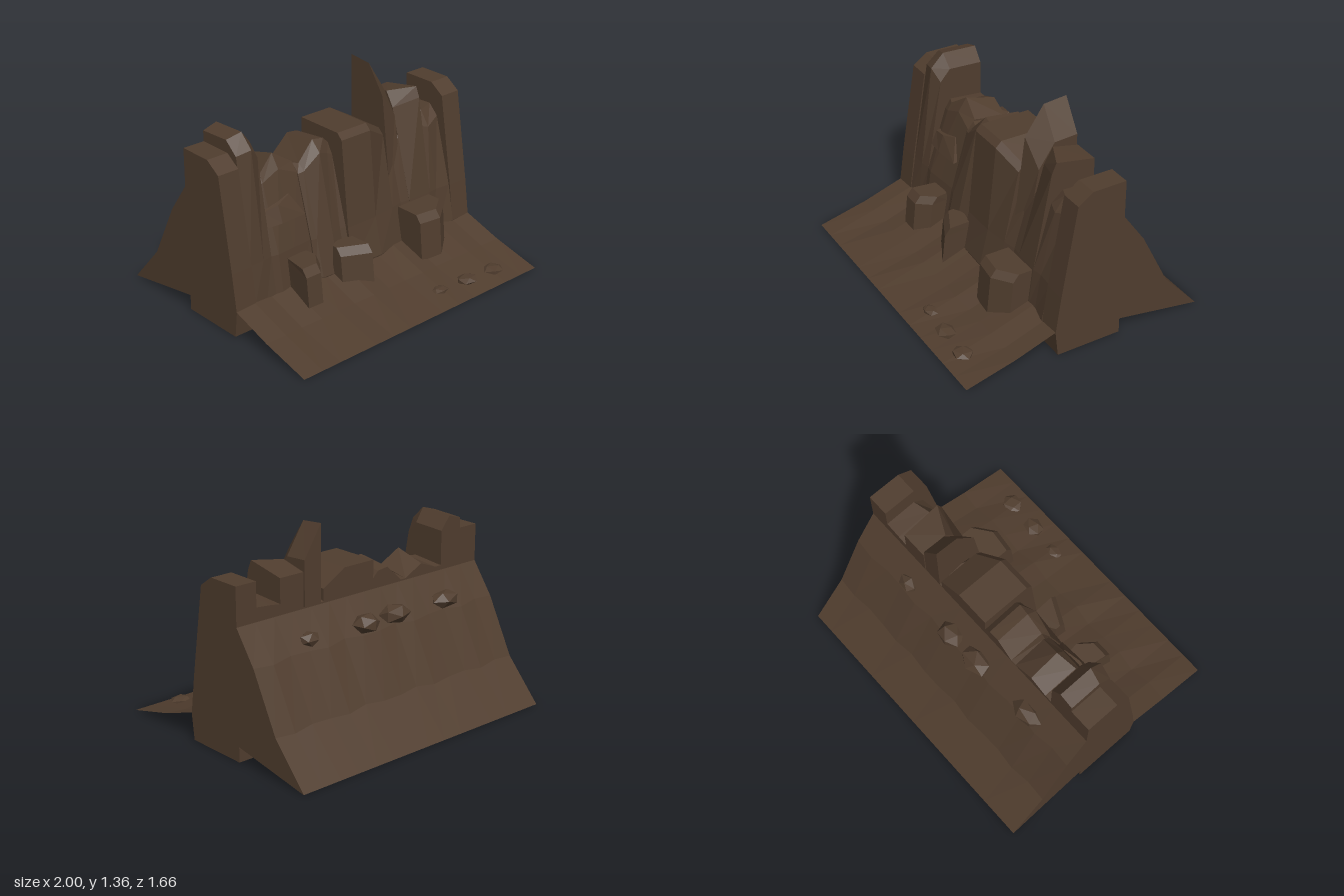
import * as THREE from 'three';

const rock = new THREE.MeshStandardMaterial({ color: 0x503d2e, flatShading: true, side: THREE.DoubleSide });
rock.name = 'brownRock';

// Skins a row of cross-sections; closed sections get end caps.
function loft(sections, closed) {
  const n = sections[0].length, pos = sections.flat(2), idx = [];
  for (let i = 0; i < sections.length - 1; i++) {
    for (let j = 0; j < (closed ? n : n - 1); j++) {
      const k = (j + 1) % n, a = i * n + j, b = i * n + k, c = a + n, d = b + n;
      idx.push(a, b, c, c, b, d);
    }
  }
  if (closed) {
    const last = (sections.length - 1) * n;
    for (let j = 1; j < n - 1; j++) {
      idx.push(0, j + 1, j, last, last + j, last + j + 1);
    }
  }
  const g = new THREE.BufferGeometry();
  g.setAttribute('position', new THREE.Float32BufferAttribute(pos, 3));
  g.setIndex(idx);
  const flat = g.toNonIndexed();
  flat.computeVertexNormals();
  return flat;
}

const BACK = -0.25;

// Column station: [x, back height, top edge z, y, shoulder z, y, middle z, foot z]
function columnGeometry(stations, bottom) {
  return loft(stations.map(([x, yb, zt, yt, zs, ys, zm, zf]) => [
    [x, bottom, BACK], [x, yb, BACK], [x, yt, zt], [x, ys, zs],
    [x, 0.42, zm], [x, 0.17, zf], [x, bottom, zf - 0.02],
  ]), true);
}

const columns = {
  leftOfCentreTower: [
    [-0.85, 1.17, -0.03, 1.18, 0.06, 1.1, 0.17, 0.21],
    [-0.75, 1.2, -0.01, 1.21, 0.08, 1.12, 0.17, 0.2],
    [-0.68, 1.11, -0.02, 1.12, 0.05, 1.04, 0.16, 0.2]],
  lowPeak: [
    [-0.68, 0.88, -0.02, 0.9, 0.02, 0.84, 0.16, 0.2],
    [-0.63, 0.88, 0.0, 0.9, 0.03, 0.85, 0.17, 0.21],
    [-0.5, 0.93, -0.04, 0.99, 0.02, 0.9, 0.16, 0.2],
    [-0.36, 0.86, -0.02, 0.9, 0.03, 0.84, 0.15, 0.2]],
  foldedPeak: [
    [-0.36, 0.86, -0.01, 0.89, 0.04, 0.83, 0.16, 0.21],
    [-0.32, 0.86, 0.0, 0.88, 0.05, 0.84, 0.17, 0.23],
    [-0.2, 0.97, -0.01, 1.0, 0.06, 0.93, 0.18, 0.24],
    [-0.12, 0.96, 0.0, 0.99, 0.04, 0.9, 0.16, 0.22],
    [-0.08, 0.92, 0.0, 0.95, 0.04, 0.88, 0.17, 0.23]],
  centreBlock: [
    [-0.08, 1.04, 0.09, 1.04, 0.13, 1.0, 0.19, 0.24],
    [0.16, 1.04, 0.09, 1.04, 0.13, 1.0, 0.19, 0.25],
    [0.33, 0.94, 0.03, 0.94, 0.07, 0.9, 0.17, 0.22]],
  wallFold: [
    [0.33, 0.86, -0.02, 0.92, 0.03, 0.85, 0.17, 0.22],
    [0.42, 0.86, 0.02, 0.8, 0.07, 0.7, 0.15, 0.2],
    [0.5, 0.86, -0.02, 0.94, 0.04, 0.85, 0.16, 0.2]],
  spire: [
    [0.35, 1.355, -0.09, 1.34, 0.04, 1.15, 0.13, 0.18],
    [0.48, 1.15, -0.09, 1.14, 0.02, 0.98, 0.12, 0.18]],
  slabTower: [
    [0.49, 1.08, -0.07, 1.12, -0.01, 1.02, 0.16, 0.2],
    [0.67, 1.08, 0.02, 1.13, 0.05, 1.06, 0.17, 0.2]],
  lowShoulder: [
    [0.67, 0.92, -0.03, 0.93, 0.05, 0.86, 0.17, 0.2],
    [0.74, 0.93, 0.0, 0.94, 0.07, 0.84, 0.16, 0.2],
    [0.85, 0.94, -0.03, 0.95, 0.04, 0.88, 0.17, 0.22]],
};

// Boulder outlines run front-left round to back-left as [x, z]; top pulls back at the front.
const boulders = [
  { top: 0.37, out: [[-0.585, 0.39], [-0.47, 0.39], [-0.4, 0.3], [-0.41, 0.17], [-0.56, 0.15]] },
  { top: 0.36, out: [[-0.235, 0.31], [-0.05, 0.4], [-0.055, 0.2], [-0.17, 0.18], [-0.235, 0.22]] },
  { top: 0.41, out: [[0.38, 0.39], [0.54, 0.41], [0.66, 0.32], [0.66, 0.17], [0.38, 0.17]] },
];

function boulderGeometry({ top, out }) {
  const ring = (y, pull) => out.map(([x, z]) => [x, y, z > 0.25 ? z - pull : z]);
  return loft([ring(0, -0.02), ring(top - 0.05, 0.015), ring(top, 0.055)], true);
}

export function createModel() {
  const group = new THREE.Group();
  const add = (name, geometry) => {
    const mesh = new THREE.Mesh(geometry, rock);
    mesh.name = name;
    group.add(mesh);
    return mesh;
  };

  // Wall of irregular rock columns
  for (const [name, stations] of Object.entries(columns)) add(name, columnGeometry(stations, 0.1));

  // Matching end columns reach the ground
  for (const side of [-1, 1]) {
    const xs = side < 0 ? [-1, -0.85] : [0.85, 1];
    add(side < 0 ? 'rightEndColumn' : 'leftEndColumn', columnGeometry(
      xs.map((x) => [x, 1.1, -0.02, 1.1, 0.08, 1.03, 0.18, 0.215]), 0));
  }

  // Jutting ledge on the low peak
  add('ledge', loft([
    [[-0.68, 0.6, 0.13], [-0.57, 0.6, 0.14], [-0.38, 0.6, 0.13], [-0.4, 0.6, 0], [-0.68, 0.6, 0]],
    [[-0.68, 0.69, 0.09], [-0.57, 0.71, 0.1], [-0.46, 0.74, 0.07], [-0.47, 0.76, 0], [-0.6, 0.77, 0]],
  ], true));

  // Gently rippled slopes in front of and behind the wall
  const skirt = [], bank = [];
  for (let i = 0; i <= 14; i++) {
    const x = -1 + i / 7, w = i % 14 ? Math.sin(i * 2.3) : 0;
    skirt.push([[x, 0.185 + 0.01 * w, 0.19], [x, 0.085 + 0.008 * w, 0.49 + 0.012 * w], [x, 0, 0.83]]);
    bank.push([[x, 0, -0.835], [x, 0.27 + 0.01 * w, -0.59 + 0.008 * w],
      [x, 0.64 + 0.01 * w, -0.4 + 0.01 * w], [x, 0.85, BACK]]);
  }
  add('frontSkirt', loft(skirt, false));
  add('backBank', loft(bank, false));

  // Flat ends of the back bank
  for (const x of [-1, 1]) {
    const shape = new THREE.Shape([[0.25, 0.1], [0.835, 0], [0.59, 0.27], [0.4, 0.64], [0.25, 0.85]]
      .map((p) => new THREE.Vector2(...p)));
    const end = add(x < 0 ? 'rightBankEnd' : 'leftBankEnd', new THREE.ShapeGeometry(shape));
    end.rotation.y = Math.PI / 2;
    end.position.x = x;
  }

  boulders.forEach((b) => add('boulder', boulderGeometry(b)));

  // Loose stones: [x, y, z, half width, half height, half depth]
  const stones = [
    [0.27, 0.045, 0.67, 0.06, 0.017, 0.045], [0.5, 0.045, 0.69, 0.075, 0.025, 0.06],
    [0.73, 0.04, 0.7, 0.07, 0.022, 0.065], [-0.6, 0.7, -0.37, 0.11, 0.055, 0.065],
    [-0.14, 0.71, -0.385, 0.11, 0.06, 0.075], [0.1, 0.7, -0.38, 0.09, 0.06, 0.08],
    [0.54, 0.7, -0.36, 0.07, 0.045, 0.05],
  ];
  stones.forEach(([x, y, z, sx, sy, sz], i) => {
    const g = new THREE.IcosahedronGeometry(1.08, 0).rotateY(i * 1.3).scale(sx, sy, sz);
    add(i < 3 ? 'frontPebble' : 'backStone', g).position.set(x, y, z);
  });

  return group;
}
